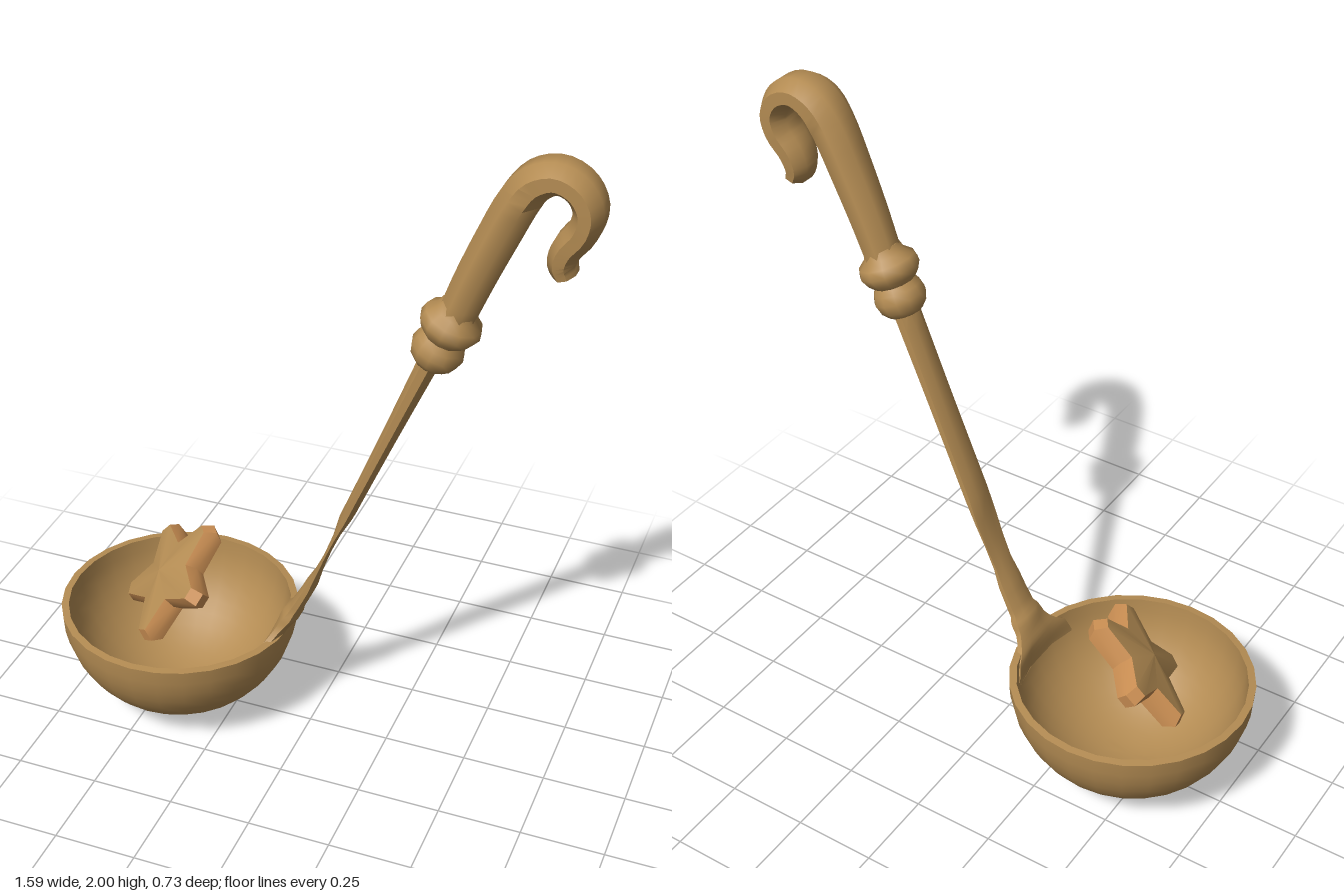
import * as THREE from 'three';
import { toCreasedNormals } from 'three/addons/utils/BufferGeometryUtils.js';

const wood = new THREE.MeshStandardMaterial({ color: 0xb48c53 });
wood.name = 'wood';
const orange = new THREE.MeshStandardMaterial({ color: 0xcb8f53 });
orange.name = 'orange';

function part(name, geometry, material, crease = 0.9) {
  const mesh = new THREE.Mesh(toCreasedNormals(geometry, crease), material);
  mesh.name = name;
  return mesh;
}

function build(positions, index) {
  const g = new THREE.BufferGeometry();
  g.setAttribute('position', new THREE.Float32BufferAttribute(positions, 3));
  g.setIndex(index);
  return g;
}

// Sweeps an eight-sided section along a path in the xy plane.
// Station: [x, y, half thickness in plane, half width in z, wrap around the bowl]
function sweep(stations, steps) {
  const place = new THREE.CatmullRomCurve3(stations.map(s => new THREE.Vector3(s[0], s[1], 0)));
  const size = new THREE.CatmullRomCurve3(stations.map(s => new THREE.Vector3(s[2], s[3], s[4] || 0)));
  const sides = 8, k = 1 / Math.cos(Math.PI / sides);
  const pos = [], index = [];
  for (let i = 0; i <= steps; i++) {
    const t = i / steps, p = place.getPoint(t), d = place.getTangent(t), s = size.getPoint(t);
    for (let j = 0; j < sides; j++) {
      const a = (j + 0.5) / sides * Math.PI * 2;
      const n = Math.cos(a) * k * s.x, z = Math.sin(a) * k * s.y;
      pos.push(p.x + d.y * n - s.z * z * z, p.y - d.x * n, z);
      if (i < steps) {
        const a0 = i * sides + j, a1 = i * sides + (j + 1) % sides;
        index.push(a0, a0 + sides, a1, a1, a0 + sides, a1 + sides);
      }
    }
  }
  // End caps
  const last = steps * sides;
  for (let j = 1; j < sides - 1; j++) {
    index.push(0, j, j + 1, last, last + j + 1, last + j);
  }
  return build(pos, index);
}

// Round bowl with a thin wall
function bowl() {
  const profile = [], n = 12;
  for (let i = 0; i <= n; i++) {
    const a = i / n * Math.PI / 2;
    profile.push(new THREE.Vector2(Math.sin(a) * 0.365, 0.348 - Math.cos(a) * 0.348));
  }
  for (let i = n; i >= 0; i--) {
    const a = i / n * Math.PI / 2;
    profile.push(new THREE.Vector2(Math.sin(a) * 0.343, 0.35 - Math.cos(a) * 0.328));
  }
  const mesh = part('bowl', new THREE.LatheGeometry(profile, 28), wood, 0.7);
  mesh.position.x = -0.435;
  mesh.rotation.z = -0.008;
  return mesh;
}

// Two turned rings between shaft and grip
function collar() {
  const profile = [
    [0, 0], [0.05, 0.005], [0.068, 0.025], [0.077, 0.055], [0.07, 0.08], [0.06, 0.098],
    [0.076, 0.115], [0.089, 0.14], [0.083, 0.165], [0.06, 0.185], [0.052, 0.21], [0, 0.21],
  ].map(([r, y]) => new THREE.Vector2(r, y));
  const mesh = part('collar', new THREE.LatheGeometry(profile, 12), wood);
  mesh.position.set(0.345, 1.35, 0);
  mesh.rotation.z = -Math.atan2(0.38, 0.925);
  return mesh;
}

// Puffy five-pointed star: orange rim, pale faces
function star() {
  const group = new THREE.Group();
  group.name = 'star';
  const outline = [];
  for (let i = 0; i < 5; i++) {
    const a = Math.PI / 2 + i * Math.PI * 0.4;
    for (const [da, r] of [[-0.1, 0.21], [0.1, 0.21], [Math.PI / 5, 0.115]]) {
      outline.push([Math.cos(a + da) * r, Math.sin(a + da) * r]);
    }
  }
  const n = outline.length;
  const ring = (scale, z) => outline.flatMap(([x, y]) => [x * scale, y * scale, z]);
  const rimIndex = [], faceIndex = [];
  for (let j = 0; j < n; j++) {
    const k = (j + 1) % n;
    for (const o of [0, n]) rimIndex.push(o + j, o + k, o + n + j, o + k, o + n + k, o + n + j);
    faceIndex.push(j, k, n);
  }
  const rim = [...ring(0.9, -0.035), ...ring(1, 0), ...ring(0.9, 0.035)];
  group.add(part('starRim', build(rim, rimIndex), orange));
  const face = build([...ring(0.9, 0.035), 0, 0, 0.06], faceIndex);
  const front = part('starFront', face, wood, 0.3);
  const back = part('starBack', face, wood, 0.3);
  back.rotation.y = Math.PI;
  group.add(front, back);

  // Leaning in the bowl
  const up = new THREE.Vector3(0.523, 0.766, -0.374).normalize();
  const across = up.clone().cross(new THREE.Vector3(-0.628, 0.642, 0.437)).normalize();
  const out = across.clone().cross(up);
  group.quaternion.setFromRotationMatrix(new THREE.Matrix4().makeBasis(across, up, out));
  group.position.set(-0.455, 0.416, -0.01);
  return group;
}

export function createModel() {
  const model = new THREE.Group();
  model.name = 'ladle';
  model.add(bowl(), collar(), star());

  // Flat shaft, flaring where it joins the bowl
  model.add(part('shaft', sweep([
    [-0.098, 0.27, 0.012, 0.15, 1.4], [-0.092, 0.33, 0.016, 0.125, 1.4],
    [-0.078, 0.37, 0.02, 0.075, 1], [-0.045, 0.43, 0.021, 0.05, 0],
    [0, 0.52, 0.018, 0.046, 0], [0.115, 0.8, 0.018, 0.046, 0],
    [0.23, 1.08, 0.022, 0.044, 0], [0.355, 1.385, 0.03, 0.043, 0],
  ], 28), wood, 0.6));

  // Grip curling over into a hook
  model.add(part('gripHook', sweep([
    [0.418, 1.52, 0.05, 0.054], [0.46, 1.63, 0.053, 0.058], [0.515, 1.76, 0.055, 0.063],
    [0.568, 1.875, 0.055, 0.067], [0.61, 1.933, 0.05, 0.07], [0.665, 1.955, 0.044, 0.07],
    [0.72, 1.932, 0.042, 0.07], [0.749, 1.88, 0.041, 0.069], [0.738, 1.82, 0.041, 0.066],
    [0.7, 1.765, 0.04, 0.06], [0.688, 1.72, 0.037, 0.054], [0.7, 1.685, 0.03, 0.046],
  ], 36), wood));
  return model;
}
